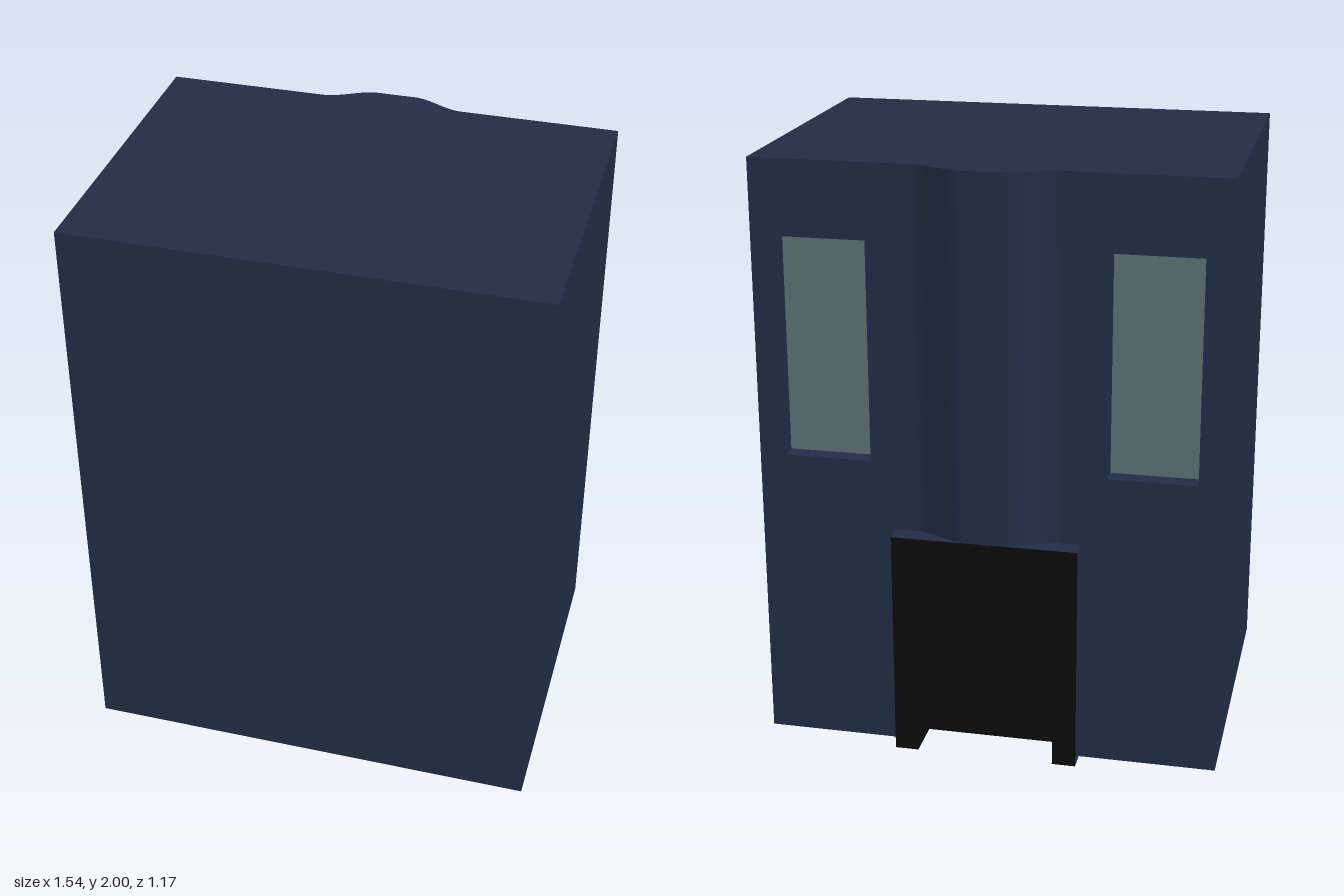
import * as THREE from 'three';
import { toCreasedNormals } from 'three/addons/utils/BufferGeometryUtils.js';

const W = 0.77, H = 2, FRONT = 0.585, WALL = -0.515, INNER = -0.435;
const SURROUND = { w: 0.31, h: 0.775, z: -0.585 };
const DOOR = { w: 0.235, h: 0.7 };
const PANE = { x0: 0.392, x1: 0.684, y0: 1.01, y1: 1.75, z: -0.455 };

const navy = new THREE.MeshStandardMaterial({ color: 0x222e48 });
navy.name = 'navy wall';
const black = new THREE.MeshStandardMaterial({ color: 0x0c0c0c });
black.name = 'black doorway';
const glass = new THREE.MeshStandardMaterial({ color: 0x5d7476 });
glass.name = 'grey green glass';

const polygon = (pts) => new THREE.Shape(pts.map(([x, y]) => new THREE.Vector2(x, y)));

// Upright slab with a doorway cut out of its foot
const archShape = (w, h) => polygon([
  [-w, 0], [-DOOR.w, 0], [-DOOR.w, DOOR.h], [DOOR.w, DOOR.h],
  [DOOR.w, 0], [w, 0], [w, h], [-w, h],
]);

function extrudeZ(shape, z0, z1) {
  const geo = new THREE.ExtrudeGeometry(shape, { depth: z1 - z0, bevelEnabled: false });
  return geo.translate(0, 0, z0);
}

function boxBetween(x0, x1, y0, y1, z0, z1) {
  const geo = new THREE.BoxGeometry(x1 - x0, y1 - y0, z1 - z0);
  return geo.translate((x0 + x1) / 2, (y0 + y1) / 2, (z0 + z1) / 2);
}

export function createModel() {
  const model = new THREE.Group();
  model.name = 'building';
  const add = (name, geo, material) => {
    const mesh = new THREE.Mesh(geo, material);
    mesh.name = name;
    model.add(mesh);
  };

  // Main block
  add('mainBlock', boxBetween(-W, W, 0, H, INNER, FRONT), navy);

  // Back wall with two window openings and the doorway
  const wall = archShape(W, H);
  for (const s of [-1, 1]) {
    const hole = [
      [s * PANE.x0, PANE.y0], [s * PANE.x0, PANE.y1],
      [s * PANE.x1, PANE.y1], [s * PANE.x1, PANE.y0],
    ];
    wall.holes.push(new THREE.Path(hole.map(([x, y]) => new THREE.Vector2(x, y))));
  }
  add('backWall', extrudeZ(wall, WALL, INNER), navy);

  // Window panes set into the wall
  for (const s of [-1, 1]) {
    const xs = [s * PANE.x0, s * PANE.x1].sort((a, b) => a - b);
    const pane = boxBetween(xs[0], xs[1], PANE.y0, PANE.y1, PANE.z, PANE.z + 0.008);
    add(s > 0 ? 'leftWindowPane' : 'rightWindowPane', pane, glass);
  }

  // Softly curved bay above the door: plan drawn in x and -z, extruded upwards
  const plan = [];
  const steps = 32, half = 0.24, flat = 0.065;
  for (let i = 0; i <= steps; i++) {
    const x = -half + (2 * half * i) / steps;
    const bulge = 1 - THREE.MathUtils.smoothstep(Math.abs(x), flat, half);
    plan.push([x, -WALL + 0.063 * bulge]);
  }
  plan.push([half, -WALL - 0.01], [-half, -WALL - 0.01]);
  const bay = new THREE.ExtrudeGeometry(polygon(plan), {
    depth: H - SURROUND.h, bevelEnabled: false,
  });
  bay.rotateX(-Math.PI / 2).translate(0, SURROUND.h, 0);
  add('curvedBay', toCreasedNormals(bay, 0.6), navy);

  // Door surround with a black face
  const arch = archShape(SURROUND.w, SURROUND.h);
  add('doorSurround', extrudeZ(arch, SURROUND.z + 0.004, WALL), navy);
  add('doorSurroundFace', extrudeZ(arch, SURROUND.z, SURROUND.z + 0.004), black);

  // Black lining of the doorway recess
  const t = 0.004, z0 = SURROUND.z, z1 = INNER;
  add('doorBack', boxBetween(-DOOR.w, DOOR.w, 0, DOOR.h, z1 - t, z1), black);
  add('doorCeiling', boxBetween(-DOOR.w, DOOR.w, DOOR.h - t, DOOR.h, z0, z1), black);
  add('doorJambLeft', boxBetween(DOOR.w - t, DOOR.w, 0, DOOR.h, z0, z1), black);
  add('doorJambRight', boxBetween(-DOOR.w, -DOOR.w + t, 0, DOOR.h, z0, z1), black);

  return model;
}
